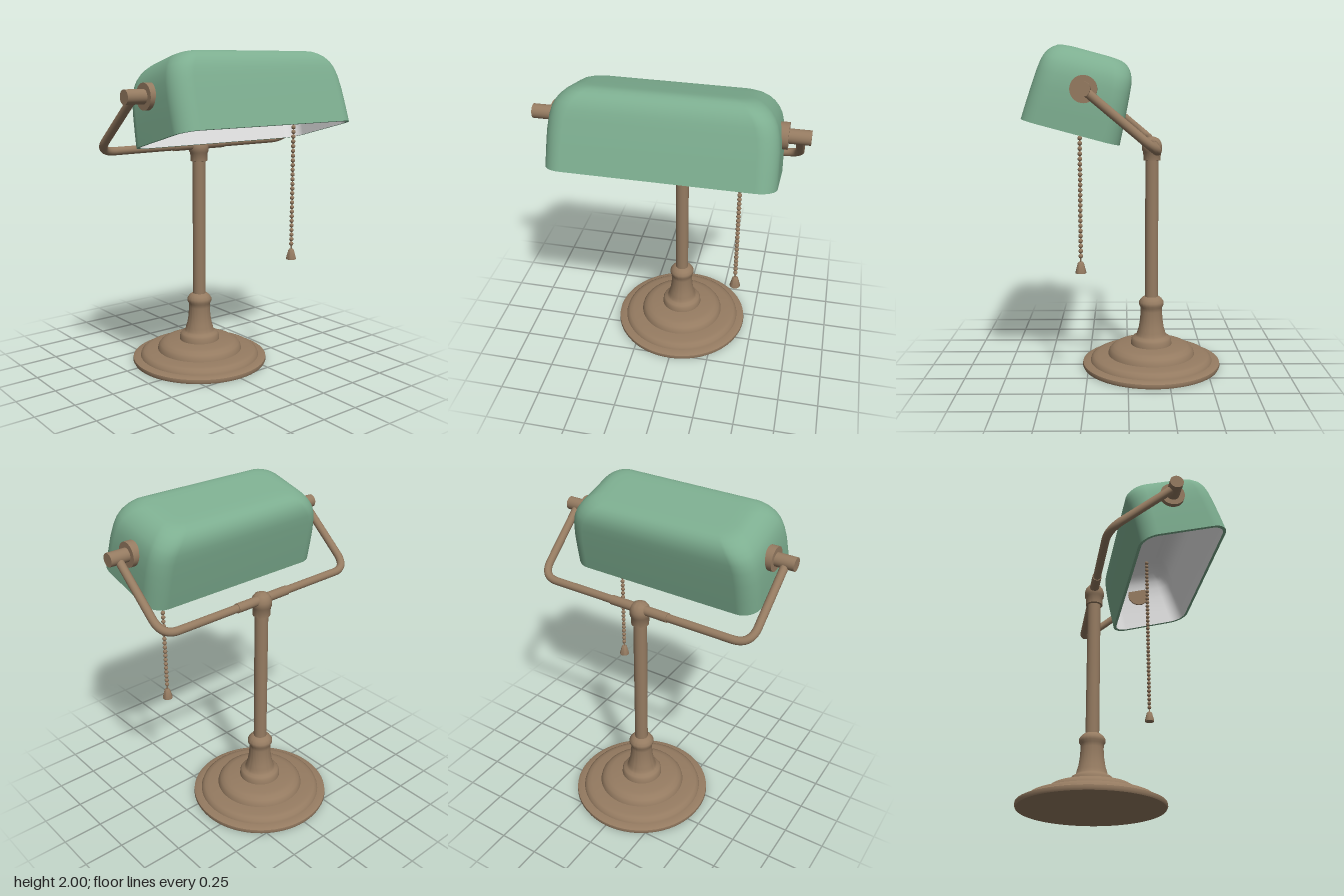
import * as THREE from 'three';
import { toCreasedNormals } from 'three/addons/utils/BufferGeometryUtils.js';

const AXIS_Z = -0.15; // post axis
const PIVOT = new THREE.Vector3(0, 1.75, 0.24); // shade hinge

// Rounded rectangle in the xz plane at height y
function ring([y, hx, hz, r], cz) {
  const pts = [];
  const signs = [[1, 1], [-1, 1], [-1, -1], [1, -1]];
  signs.forEach(([sx, sz], q) => {
    for (let i = 0; i <= 8; i++) {
      const a = (q + i / 8) * Math.PI / 2;
      pts.push([sx * (hx - r) + r * Math.cos(a), y, cz + sz * (hz - r) + r * Math.sin(a)]);
    }
  });
  return pts;
}

// Skin a stack of rings, with an optional top cap and inside-facing option
function loft(rings, cap, inward) {
  const n = rings[0].length;
  const pos = rings.flat(2);
  const idx = [];
  const tri = (a, b, c) => (inward ? idx.push(a, c, b) : idx.push(a, b, c));
  for (let k = 0; k < rings.length - 1; k++) {
    for (let i = 0; i < n; i++) {
      const j = (i + 1) % n, a = k * n, b = a + n;
      tri(a + i, b + i, a + j);
      tri(a + j, b + i, b + j);
    }
  }
  if (cap) {
    const last = (rings.length - 1) * n;
    const p = rings[rings.length - 1];
    pos.push(0, p[0][1], (p[0][2] + p[n >> 1][2]) / 2);
    for (let i = 0; i < n; i++) tri(last + i, rings.length * n, last + (i + 1) % n);
  }
  const g = new THREE.BufferGeometry();
  g.setAttribute('position', new THREE.Float32BufferAttribute(pos, 3));
  g.setIndex(idx);
  g.computeVertexNormals();
  return g;
}

export function createModel() {
  const model = new THREE.Group();
  model.name = 'deskLamp';
  const mat = (name, color) => {
    const m = new THREE.MeshStandardMaterial({ color });
    m.name = name;
    return m;
  };
  const bronze = mat('bronze', 0x957b61);
  const green = mat('greenGlass', 0x7dae90);
  const white = mat('whiteLining', 0xeeeeee);

  const add = (name, geo, material, x = 0, y = 0, z = 0, parent = model) => {
    const m = new THREE.Mesh(geo, material);
    m.name = name;
    m.position.set(x, y, z);
    parent.add(m);
    return m;
  };
  const lathe = (pts, seg = 64) => toCreasedNormals(
    new THREE.LatheGeometry(pts.map(p => new THREE.Vector2(p[0], p[1])), seg), 0.7);

  // Stepped base with its neck
  add('base', lathe([
    [0, 0], [0.432, 0], [0.438, 0.012], [0.436, 0.028], [0.42, 0.036], [0.388, 0.038],
    [0.382, 0.055], [0.365, 0.068], [0.34, 0.074], [0.275, 0.078], [0.27, 0.098],
    [0.258, 0.115], [0.235, 0.13], [0.205, 0.137], [0.13, 0.142], [0.127, 0.172],
    [0.118, 0.186], [0.1, 0.194], [0.092, 0.205], [0.088, 0.225], [0.08, 0.25],
    [0.072, 0.3], [0.068, 0.36], [0.07, 0.385], [0.078, 0.398], [0.078, 0.418],
    [0.066, 0.436], [0.052, 0.448], [0.04, 0.452],
  ]), bronze, 0, 0, AXIS_Z);

  // Post and its top collar
  add('post', new THREE.CylinderGeometry(0.041, 0.041, 0.97, 32), bronze, 0, 0.92, AXIS_Z);
  add('collar', lathe([
    [0.04, 1.315], [0.053, 1.318], [0.055, 1.37], [0.061, 1.378], [0.061, 1.41],
    [0.055, 1.432], [0.042, 1.45], [0.022, 1.461], [0, 1.465],
  ], 32), bronze, 0, 0, AXIS_Z);
  const sleeve = add('crossSleeve', new THREE.CylinderGeometry(0.029, 0.029, 0.385, 24), bronze, 0, 1.42, AXIS_Z - 0.005);
  sleeve.rotation.z = Math.PI / 2;

  // Bent arms, hinge knobs and washers, mirrored
  for (const s of [1, -1]) {
    const side = s > 0 ? 'left' : 'right';
    const start = new THREE.Vector3(s * 0.15, 1.42, AXIS_Z - 0.005);
    const corner = new THREE.Vector3(s * 0.715, 1.42, AXIS_Z - 0.005);
    const end = new THREE.Vector3(s * 0.715, PIVOT.y, PIVOT.z);
    const toward = p => corner.clone().add(p.clone().sub(corner).setLength(0.11));
    const path = new THREE.CurvePath();
    path.add(new THREE.LineCurve3(start, toward(start)));
    path.add(new THREE.QuadraticBezierCurve3(toward(start), corner, toward(end)));
    path.add(new THREE.LineCurve3(toward(end), end));
    add(side + 'Arm', new THREE.TubeGeometry(path, 72, 0.0245, 16), bronze);

    const knob = add(side + 'HingeKnob', new THREE.CylinderGeometry(0.041, 0.041, 0.175, 28), bronze, s * 0.6875, PIVOT.y, PIVOT.z);
    const washer = add(side + 'HingeWasher', new THREE.CylinderGeometry(0.074, 0.074, 0.06, 32), bronze, s * 0.625, PIVOT.y, PIVOT.z);
    knob.rotation.z = washer.rotation.z = Math.PI / 2;
  }

  // Tilted shade: outer shell, rim and lining; rows are height, half width, half depth, corner radius
  const shade = new THREE.Group();
  shade.name = 'shade';
  shade.position.copy(PIVOT);
  shade.rotation.x = -THREE.MathUtils.degToRad(15);
  model.add(shade);
  const rows = [
    [-0.245, 0.632, 0.28, 0.11], [-0.15, 0.63, 0.275, 0.11], [-0.04, 0.626, 0.268, 0.11],
    [0.04, 0.616, 0.262, 0.11], [0.09, 0.602, 0.257, 0.11], [0.125, 0.584, 0.249, 0.11],
    [0.155, 0.56, 0.236, 0.11], [0.178, 0.533, 0.218, 0.105], [0.195, 0.503, 0.196, 0.1],
    [0.204, 0.475, 0.17, 0.09], [0.208, 0.44, 0.14, 0.075], [0.209, 0.38, 0.09, 0.05],
  ];
  const T = 0.02; // wall thickness
  const outer = rows.map(r => ring(r, 0.016));
  const inner = rows.map(([y, hx, hz, r], i) =>
    ring([i ? y - T * Math.max(0, y) / 0.209 : y, hx - T, hz - T, r - T], 0.016));
  add('shadeShell', loft(outer, true), green, 0, 0, 0, shade);
  add('shadeRim', loft([inner[0], outer[0]]), green, 0, 0, 0, shade);
  add('shadeLining', loft(inner, true, true), white, 0, 0, 0, shade);

  // Beaded pull chain
  const chain = new THREE.Group();
  chain.name = 'pullChain';
  chain.position.set(0.413, 0, 0.274);
  model.add(chain);
  const bead = new THREE.SphereGeometry(0.0135, 10, 8);
  for (let y = 0.8; y < 1.93; y += 0.0295) add('bead', bead, bronze, 0, y, 0, chain);
  add('chainWire', new THREE.CylinderGeometry(0.004, 0.004, 1.17, 6), bronze, 0, 1.345, 0, chain);
  add('pullWeight', lathe([[0, 0.7], [0.031, 0.7], [0.031, 0.708], [0.018, 0.758], [0.012, 0.766], [0, 0.766]], 20),
    bronze, 0, 0, 0, chain);

  return model;
}
